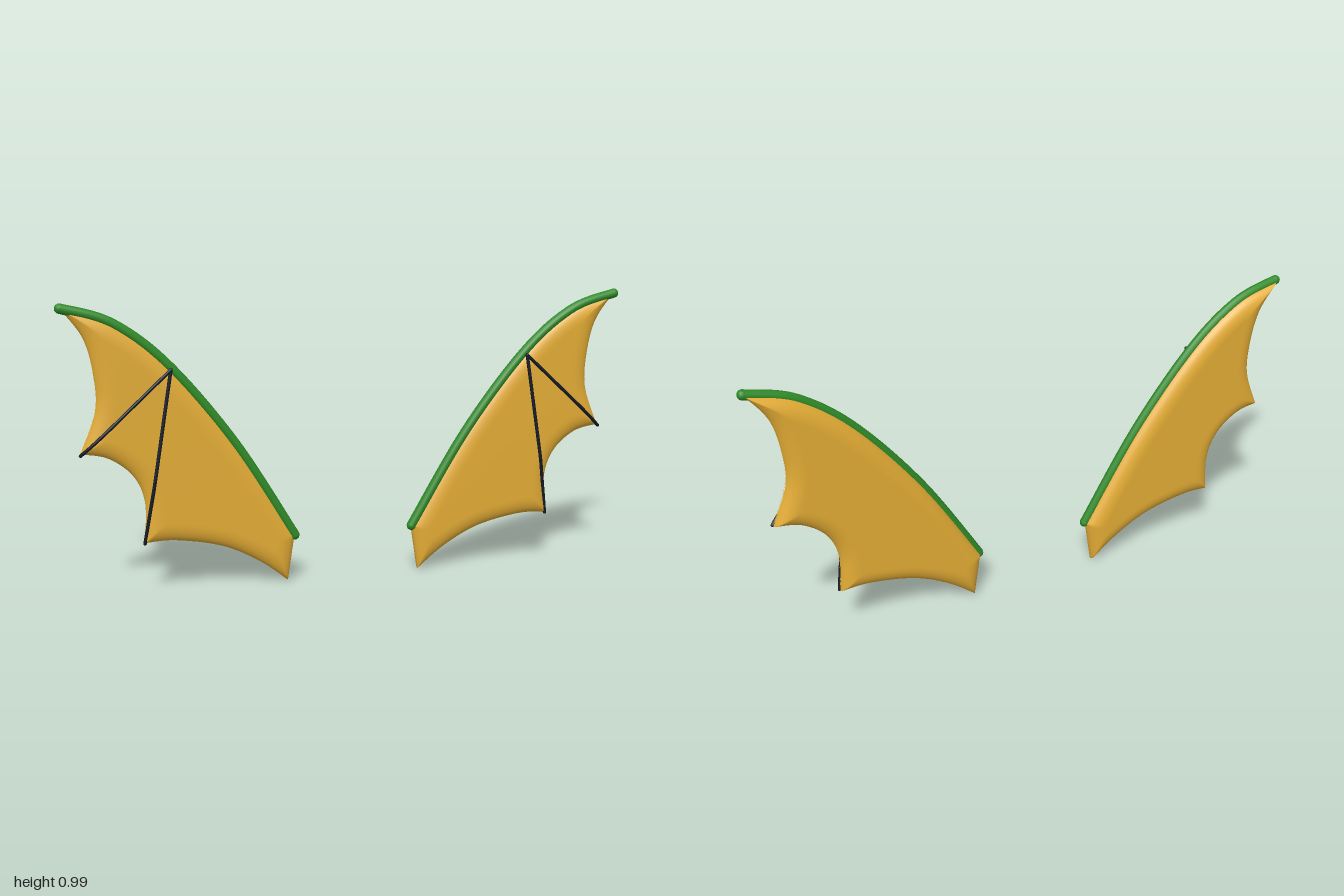
import * as THREE from 'three';

const V2 = (p) => new THREE.Vector2(...p);
const spline = (pts) => new THREE.SplineCurve(pts.map(V2));
const ease = (t) => 0.5 - 0.5 * Math.cos(Math.PI * t);

// Leading edge, from wing tip to root
const leading = spline([[0.985, 0.973], [0.82, 0.92], [0.64, 0.775], [0.42, 0.50], [0.215, 0.165]]);

// Scalloped trailing edge, each scallop paired with a stretch of the leading edge
const scallops = [
  { from: 0, to: 0.45, curve: spline([[0.985, 0.973], [0.915, 0.875], [0.885, 0.75], [0.885, 0.63], [0.937, 0.493]]) },
  { from: 0.45, to: 0.6, curve: spline([[0.937, 0.493], [0.848, 0.474], [0.767, 0.41], [0.73, 0.315], [0.735, 0.176]]) },
  { from: 0.6, to: 1, curve: spline([[0.735, 0.176], [0.63, 0.178], [0.47, 0.145], [0.34, 0.08], [0.24, 0.003]]) },
];

// Closed outline used to measure how far a point lies from the rim
const outline = [
  ...leading.getPoints(40).reverse(),
  ...scallops.flatMap((s) => s.curve.getPoints(20).slice(1)),
];

function rimDistance(x, y) {
  let best = Infinity;
  outline.forEach((a, i) => {
    const b = outline[(i + 1) % outline.length];
    const dx = b.x - a.x, dy = b.y - a.y;
    const len = dx * dx + dy * dy || 1;
    const t = THREE.MathUtils.clamp(((x - a.x) * dx + (y - a.y) * dy) / len, 0, 1);
    best = Math.min(best, Math.hypot(x - a.x - t * dx, y - a.y - t * dy));
  });
  return best;
}

// Rounded edge: 0 at the rim, 1 once well inside
function puff(x, y) {
  const d = Math.min(rimDistance(x, y) / 0.06, 1);
  return Math.sqrt(1 - (1 - d) ** 2);
}

const FRONT = 0.03, BACK = -0.04;

// One padded sheet of the membrane, spanned between leading and trailing edges
function sheet(side, depth) {
  const N = 44, M = 44, pos = [], index = [];
  const rows = [];
  scallops.forEach((s, k) => {
    for (let i = k ? 1 : 0; i <= N; i++) {
      const t = ease(i / N);
      rows.push([leading.getPoint(s.from + (s.to - s.from) * t), s.curve.getPoint(t)]);
    }
  });
  for (const [a, b] of rows) {
    for (let j = 0; j <= M; j++) {
      const p = a.clone().lerp(b, ease(j / M));
      pos.push(side * p.x, p.y, depth * puff(p.x, p.y));
    }
  }
  const flip = side * depth < 0;
  for (let i = 0; i < rows.length - 1; i++) {
    for (let j = 0; j < M; j++) {
      const a = i * (M + 1) + j, b = a + M + 1;
      if (flip) index.push(a, a + 1, b, b, a + 1, b + 1);
      else index.push(a, b, a + 1, b, b + 1, a + 1);
    }
  }
  const g = new THREE.BufferGeometry();
  g.setAttribute('position', new THREE.Float32BufferAttribute(pos, 3));
  g.setIndex(index);
  g.computeVertexNormals();
  return g;
}

// Round rod along a path, with ball ends
function rod(name, points, radius, material) {
  const group = new THREE.Group();
  group.name = name;
  const path = new THREE.CatmullRomCurve3(points);
  group.add(new THREE.Mesh(new THREE.TubeGeometry(path, 64, radius, 12), material));
  for (const p of [points[0], points[points.length - 1]]) {
    const ball = new THREE.Mesh(new THREE.SphereGeometry(radius, 12, 8), material);
    ball.position.copy(p);
    group.add(ball);
  }
  group.children.forEach((m) => { m.name = name; });
  return group;
}

export function createModel() {
  const skin = new THREE.MeshStandardMaterial({ color: 0xe3ac35 });
  const green = new THREE.MeshStandardMaterial({ color: 0x2f8a28 });
  const dark = new THREE.MeshStandardMaterial({ color: 0x141a26 });
  const model = new THREE.Group();
  model.name = 'wings';

  for (const side of [1, -1]) {
    const wing = new THREE.Group();
    wing.name = side > 0 ? 'leftWing' : 'rightWing';

    // Padded membrane
    const front = new THREE.Mesh(sheet(side, FRONT), skin);
    front.name = 'membraneFront';
    const back = new THREE.Mesh(sheet(side, BACK), skin);
    back.name = 'membraneBack';
    wing.add(front, back);

    // Arm along the leading edge
    const arm = leading.getPoints(24).map((p) => new THREE.Vector3(side * p.x, p.y, 0.006));
    wing.add(rod('leadingArm', arm, 0.017, green));

    // Finger ribs lying on the front, dipping to the rim at the scallop points
    const wrist = V2([0.637, 0.765]);
    for (const tip of [V2([0.937, 0.49]), V2([0.735, 0.175])]) {
      const pts = [];
      for (let i = 0; i <= 24; i++) {
        const t = i / 24, p = wrist.clone().lerp(tip, t);
        const lift = t < 0.25 ? 1 : puff(p.x, p.y);
        pts.push(new THREE.Vector3(side * p.x, p.y, 0.035 * lift));
      }
      wing.add(rod('fingerRib', pts, 0.006, dark));
    }
    model.add(wing);
  }
  return model;
}
